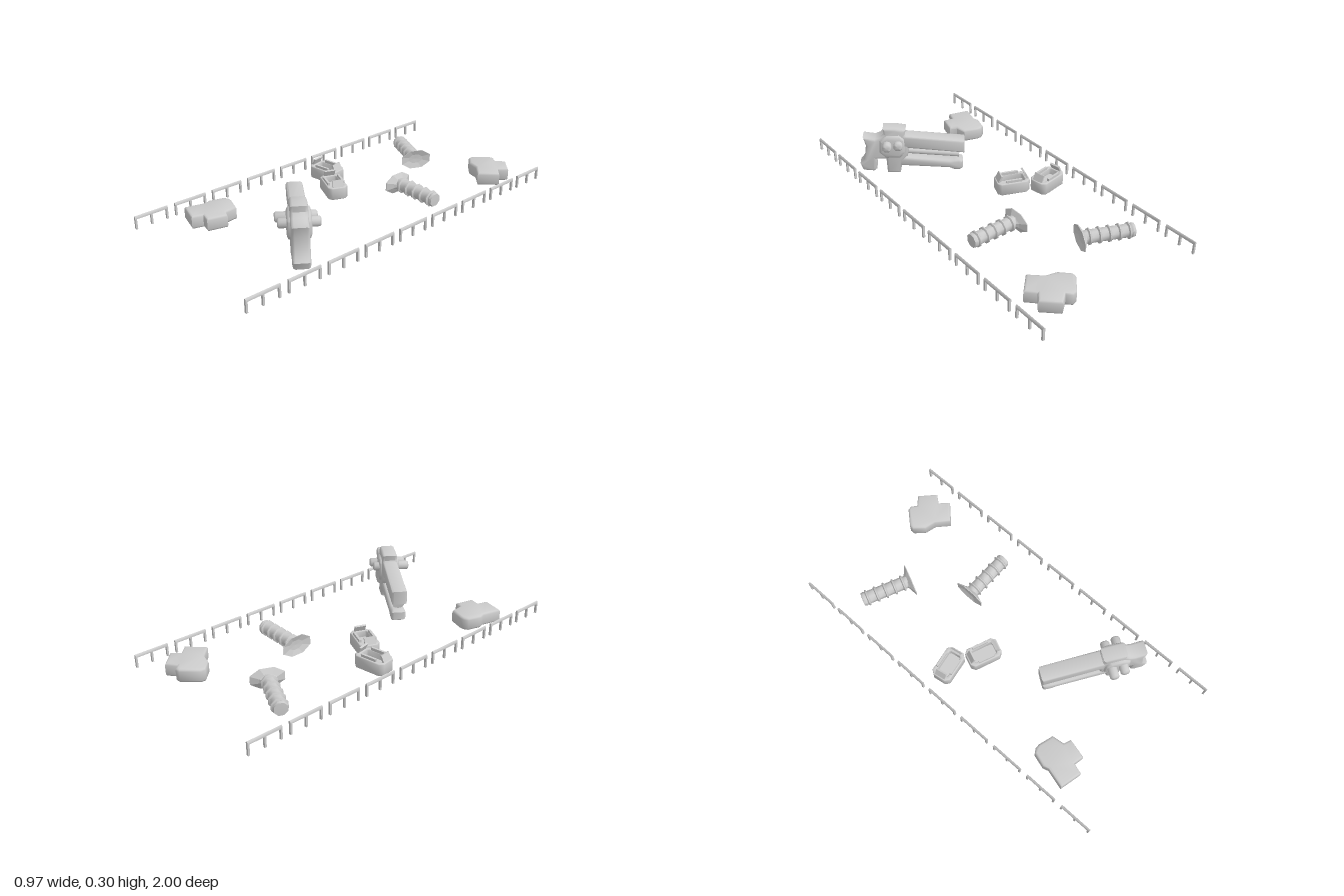
import * as THREE from 'three';
import { toCreasedNormals } from 'three/addons/utils/BufferGeometryUtils.js';

const material = new THREE.MeshStandardMaterial({ color: 0xcccccc, side: THREE.DoubleSide });

function add(parent, name, geometry, x = 0, y = 0, z = 0) {
  const mesh = new THREE.Mesh(geometry, material);
  mesh.name = name;
  mesh.position.set(x, y, z);
  parent.add(mesh);
  return mesh;
}

function group(parent, name, x, y, z, turn) {
  const g = new THREE.Group();
  g.name = name;
  g.position.set(x, y, z);
  g.rotation.y = turn;
  parent.add(g);
  return g;
}

const outline = (points) => new THREE.Shape(points.map(([x, y]) => new THREE.Vector2(x, y)));

// Bevelled slab cut from an outline, centred along z
function slab(shape, width, bevel, crease = 0.9) {
  const geo = new THREE.ExtrudeGeometry(shape, {
    depth: width - 2 * bevel, bevelEnabled: bevel > 0, bevelSize: bevel,
    bevelThickness: bevel, bevelOffset: -bevel, bevelSegments: 2, curveSegments: 6,
  });
  geo.translate(0, 0, -(width - 2 * bevel) / 2);
  return toCreasedNormals(geo, crease);
}

// One railing section: top bar with pointed ridge and three posts
function addRailing(parent, x, z) {
  const g = group(parent, 'railingSection', x, 0, z, 0);
  const bar = outline([[-0.006, 0.074], [0.006, 0.074], [0.006, 0.085], [0, 0.091], [-0.006, 0.085]]);
  add(g, 'topBar', slab(bar, 0.184, 0));
  for (const offset of [-0.087, 0, 0.087]) {
    add(g, 'post', new THREE.BoxGeometry(0.012, 0.058, 0.01), 0, 0.047, offset);
  }
}

// Ribbed plug lying on its side, with a flared end plate
function addPlug(parent, x, z, turn) {
  const g = group(parent, 'ribbedPlug', x, 0.06, z, turn);
  const profile = [[0.034, 0.02]];
  for (let i = 0; i < 5; i++) {
    const s = 0.045 + i * 0.052;
    profile.push([0.036, s - 0.005], [0.045, s], [0.045, s + 0.006], [0.036, s + 0.011]);
  }
  profile.push([0.04, 0.272], [0.036, 0.285], [0, 0.287]);
  const lathe = (pts) => {
    const geo = new THREE.LatheGeometry(pts.map(([r, h]) => new THREE.Vector2(r, h)), 8, Math.PI / 8);
    geo.rotateZ(-Math.PI / 2);
    return toCreasedNormals(geo, 0.9);
  };
  add(g, 'ribbedShaft', lathe(profile));
  const flange = lathe([[0, 0.012], [0.045, 0.01], [0.094, 0], [0.094, 0.004], [0.05, 0.022], [0.034, 0.032]]);
  flange.scale(1, 0.62, 1);
  flange.computeVertexNormals();
  add(g, 'flaredPlate', flange);
}

// Open tray with a rim, recessed floor and two inward-leaning end flaps
function addTray(parent, x, z, turn) {
  const g = group(parent, 'tray', x, 0, z, turn);
  const octagon = (a, b, c) => [[a, b - c], [a - c, b], [c - a, b], [-a, b - c], [-a, c - b], [c - a, -b], [a - c, -b], [a, c - b]];
  const frame = outline(octagon(0.091, 0.055, 0.02));
  frame.holes.push(new THREE.Path(octagon(0.066, 0.034, 0.008).map(([px, py]) => new THREE.Vector2(px, py))));
  add(g, 'frame', slab(frame, 0.07, 0.006), 0, 0.053, 0).rotation.x = -Math.PI / 2;
  add(g, 'floor', new THREE.BoxGeometry(0.14, 0.012, 0.075), 0, 0.046, 0);
  for (const side of [-1, 1]) {
    const flap = add(g, 'endFlap', new THREE.BoxGeometry(0.01, 0.045, 0.06), side * 0.073, 0.102, 0);
    flap.rotation.z = side * 0.45;
    add(g, 'sideLip', new THREE.BoxGeometry(0.09, 0.016, 0.012), 0, 0.094, side * 0.042);
  }
}

// Chunky block standing on the ground, from a plan outline of x and z
function addBlock(parent, plan) {
  const geo = slab(outline(plan.map(([x, z]) => [x, -z])), 0.074, 0.012, 1.1);
  geo.rotateX(-Math.PI / 2);
  add(parent, 'chunkyBlock', geo, 0, 0.053, 0);
}

// Large leaning tool: two rails, a rod, a hub with cross pins, and a grip
function addTool(parent) {
  const g = group(parent, 'largeTool', 0.17, 0, 0.475, -0.602);
  add(g, 'upperRail', slab(outline([[-0.286, 0.14], [0.07, 0.185], [0.07, 0.258], [-0.286, 0.216]]), 0.086, 0.012));
  add(g, 'lowerRail', slab(outline([
    [-0.275, 0.04], [-0.255, 0.028], [-0.22, 0.032], [-0.2, 0.043], [0.1, 0.07],
    [0.1, 0.125], [-0.2, 0.09], [-0.225, 0.092], [-0.255, 0.095], [-0.275, 0.085],
  ]), 0.08, 0.014));
  const rod = add(g, 'middleRod', new THREE.CylinderGeometry(0.021, 0.021, 0.3, 12), -0.105, 0.139, 0);
  rod.rotation.z = Math.PI / 2 + 0.11;
  rod.scale.z = 1.5;
  add(g, 'bodyAndGrip', slab(outline([
    [0.02, 0.175], [0.025, 0.245], [0.04, 0.26], [0.034, 0.292], [0.09, 0.303], [0.158, 0.304],
    [0.156, 0.272], [0.178, 0.253], [0.205, 0.242], [0.27, 0.253], [0.257, 0.2], [0.27, 0.115],
    [0.296, 0.085], [0.282, 0.046], [0.22, 0.038], [0.205, 0.05], [0.206, 0.115], [0.15, 0.115],
    [0.148, 0.025], [0.075, 0.022], [0.06, 0.1], [0.03, 0.13],
  ]), 0.086, 0.014));
  add(g, 'hub', slab(outline([
    [0.04, 0.16], [0.045, 0.24], [0.07, 0.265], [0.14, 0.265], [0.18, 0.235], [0.185, 0.16], [0.15, 0.125], [0.07, 0.125],
  ]), 0.118, 0.02));
  for (const [u, v] of [[0.079, 0.012], [0.139, 0]]) {
    const pin = toCreasedNormals(new THREE.LatheGeometry(
      [[0, -0.102], [0.018, -0.102], [0.025, -0.094], [0.025, 0.094], [0.018, 0.102], [0, 0.102]]
        .map(([r, h]) => new THREE.Vector2(r, h)), 12), 0.9);
    add(g, 'crossPin', pin, u, 0.213, v).rotation.x = Math.PI / 2;
  }
}

export function createModel() {
  const model = new THREE.Group();
  model.name = 'fieldLayout';

  // Broken lines of railing along both sides
  for (const x of [-0.481, 0.481]) {
    for (let i = -4; i <= 4; i++) addRailing(model, x, i * 0.227);
  }

  addTool(model);
  addPlug(model, 0.06, -0.303, 0);
  addPlug(model, -0.09, -0.605, Math.PI - 0.416);
  addTray(model, -0.312, -0.11, 0.17);
  addTray(model, -0.142, -0.015, -0.38);

  addBlock(model, [
    [0.14, -0.83], [0.21, -0.91], [0.235, -0.915], [0.26, -0.89], [0.31, -0.93], [0.39, -0.855],
    [0.355, -0.81], [0.4, -0.765], [0.315, -0.68], [0.25, -0.74], [0.19, -0.755], [0.14, -0.805],
  ]);
  addBlock(model, [
    [-0.345, 0.53], [-0.32, 0.53], [-0.24, 0.555], [-0.232, 0.622], [-0.193, 0.638], [-0.22, 0.742],
    [-0.275, 0.73], [-0.292, 0.787], [-0.412, 0.757], [-0.383, 0.65], [-0.392, 0.62], [-0.37, 0.545],
  ]);
  return model;
}
